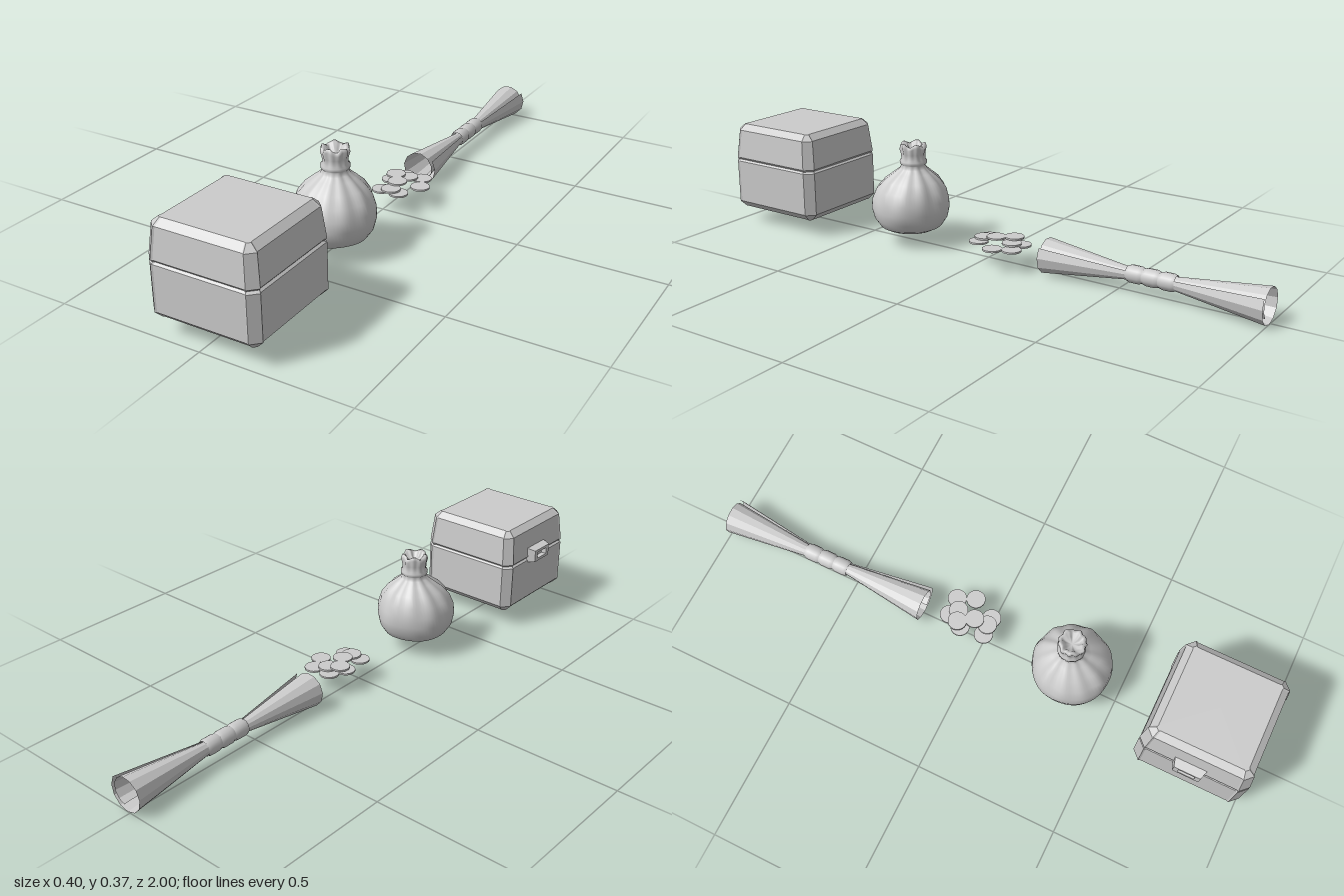
import * as THREE from 'three';
import { mergeVertices } from 'three/addons/utils/BufferGeometryUtils.js';

const grey = (opts = {}) => new THREE.MeshStandardMaterial({ color: 0xcccccc, ...opts });

function part(name, geometry, material, x = 0, y = 0, z = 0) {
  const mesh = new THREE.Mesh(geometry, material);
  mesh.name = name;
  mesh.position.set(x, y, z);
  return mesh;
}

// Skin a stack of equal-length rings of [x, y, z]; rings run from +x towards +z, going up y.
function loft(rings, closed = true) {
  const n = rings[0].length, index = [];
  for (let i = 0; i < rings.length - 1; i++) {
    for (let j = 0; j < (closed ? n : n - 1); j++) {
      const k = (j + 1) % n;
      const a = i * n + j, b = i * n + k, c = b + n, d = a + n;
      index.push(a, d, c, a, c, b);
    }
  }
  const geo = new THREE.BufferGeometry();
  geo.setAttribute('position', new THREE.Float32BufferAttribute(rings.flat(2), 3));
  geo.setIndex(index);
  const flat = geo.toNonIndexed();
  flat.computeVertexNormals();
  return flat;
}

// Square with cut corners; each corner strip stands slightly proud by g.
function chestRing([h, c, y, g = 0.003]) {
  const ring = [];
  let corner = [[h - g, h - c - 2 * g], [h, h - c], [h - c, h], [h - c - 2 * g, h - g]];
  for (let i = 0; i < 4; i++) {
    ring.push(...corner.map(([x, z]) => [x, y, z]));
    corner = corner.map(([x, z]) => [-z, x]);
  }
  return ring;
}

function makeChest() {
  const chest = new THREE.Group();
  chest.name = 'chest';
  const body = [[0, 0, 0.06, 0], [0.163, 0.01, 0.059], [0.188, 0.028, 0.084],
    [0.188, 0.028, 0.236], [0.181, 0.026, 0.242], [0, 0, 0.242, 0]];
  const lid = [[0, 0, 0.242, 0], [0.181, 0.026, 0.242], [0.188, 0.028, 0.25],
    [0.177, 0.026, 0.35], [0.154, 0.01, 0.37], [0, 0, 0.37, 0]];
  chest.add(part('chestBody', loft(body.map(chestRing)), grey({ flatShading: true })));
  chest.add(part('chestLid', loft(lid.map(chestRing)), grey({ flatShading: true })));

  // Latch: tapered block with a recessed face, pointing to -x
  const rect = ([hx, hz, y]) => [[hx, y, hz], [-hx, y, hz], [-hx, y, -hz], [hx, y, -hz]];
  const latch = part('latch', loft([[0.028, 0.054, 0], [0.022, 0.045, 0.03], [0.012, 0.028, 0.03],
    [0.012, 0.028, 0.012], [0, 0, 0.012]].map(rect)), grey({ flatShading: true }), -0.181, 0.255, -0.008);
  latch.rotation.z = Math.PI / 2;
  chest.add(latch);
  chest.position.set(0.0115, 0, 0.812);
  return chest;
}

function makeSack() {
  const profile = [[0, 0.058], [0.05, 0.054], [0.085, 0.055], [0.11, 0.068], [0.128, 0.095], [0.136, 0.13],
    [0.133, 0.165], [0.12, 0.2], [0.095, 0.232], [0.065, 0.257], [0.047, 0.272], [0.041, 0.285],
    [0.046, 0.29], [0.047, 0.3], [0.041, 0.306], [0.041, 0.325], [0.046, 0.35], [0.042, 0.362],
    [0.033, 0.36], [0.023, 0.343], [0, 0.33]].map(([r, y]) => new THREE.Vector2(r, y));
  let geo = new THREE.LatheGeometry(profile, 72);
  geo.deleteAttribute('uv');
  geo.deleteAttribute('normal');
  const p = geo.attributes.position;
  for (let i = 0; i < p.count; i++) {
    const x = p.getX(i), y = p.getY(i), z = p.getZ(i), a = Math.atan2(z, x);
    // Pleats gather towards the neck and fade out on the belly
    const gather = THREE.MathUtils.smoothstep(y, 0.13, 0.25);
    const band = y > 0.284 && y < 0.308 ? 0.2 : 1;
    const s = 1 + gather * band * (0.045 * Math.sin(11 * a) + 0.025 * Math.sin(7 * a + 1))
      + 0.012 * (1 - gather) * Math.sin(5 * a + 20 * y);
    const lean = -0.014 * THREE.MathUtils.smoothstep(y, 0.15, 0.3);
    const ripple = y > 0.34 ? 0.005 * Math.sin(5 * a) - 0.004 : 0;
    p.setXYZ(i, x * s, y + ripple, z * s + lean);
  }
  geo = mergeVertices(geo, 1e-5);
  geo.computeVertexNormals();
  return part('sack', geo, grey(), 0.01, 0, 0.323);
}

function makeCoins() {
  const coins = new THREE.Group();
  coins.name = 'coins';
  // x, z, layer
  const spots = [[0.075, -0.14, 0], [0.1, -0.08, 0], [-0.005, 0, 0], [0.06, 0, 0], [0.03, -0.002, 1],
    [-0.015, -0.085, 0], [0.01, -0.138, 0], [0.035, -0.115, 1], [-0.005, -0.1, 2], [0.028, -0.05, 2]];
  for (const [x, z, layer] of spots) {
    coins.add(part('coin', new THREE.CylinderGeometry(0.033, 0.033, 0.006, 20), grey({ flatShading: true }),
      x, 0.079 + layer * 0.008, z));
  }
  return coins;
}

function makeScroll() {
  const scroll = new THREE.Group();
  scroll.name = 'scroll';
  // Rolled sheet: a spiral section that flares out from the tied waist
  const spiral = (r, y) => Array.from({ length: 16 }, (_, j) => {
    const t = j / 15, a = -0.6 + t * Math.PI * 2.6, q = r * (1 - 0.3 * t * t);
    return [q * Math.cos(a), y, q * Math.sin(a)];
  });
  const sheet = [[0.064, -0.382], [0.024, -0.08], [0.022, 0.08], [0.064, 0.382]];
  scroll.add(part('rolledSheet', loft(sheet.map(([r, y]) => spiral(r, y)), false),
    grey({ flatShading: true, side: THREE.DoubleSide })));
  // Tie of three rounded bands
  const tie = [];
  for (let i = 0; i < 3; i++) {
    for (const [r, y] of [[0.025, 0], [0.029, 0.012], [0.029, 0.043], [0.025, 0.055]]) {
      tie.push(new THREE.Vector2(r, -0.083 + i * 0.056 + y));
    }
  }
  scroll.add(part('tie', new THREE.LatheGeometry(tie, 14), grey({ side: THREE.DoubleSide })));
  scroll.rotation.x = Math.PI / 2;
  scroll.position.set(0.01, 0.066, -0.618);
  return scroll;
}

export function createModel() {
  const model = new THREE.Group();
  model.name = 'treasureSet';
  model.add(makeChest(), makeSack(), makeCoins(), makeScroll());
  return model;
}
